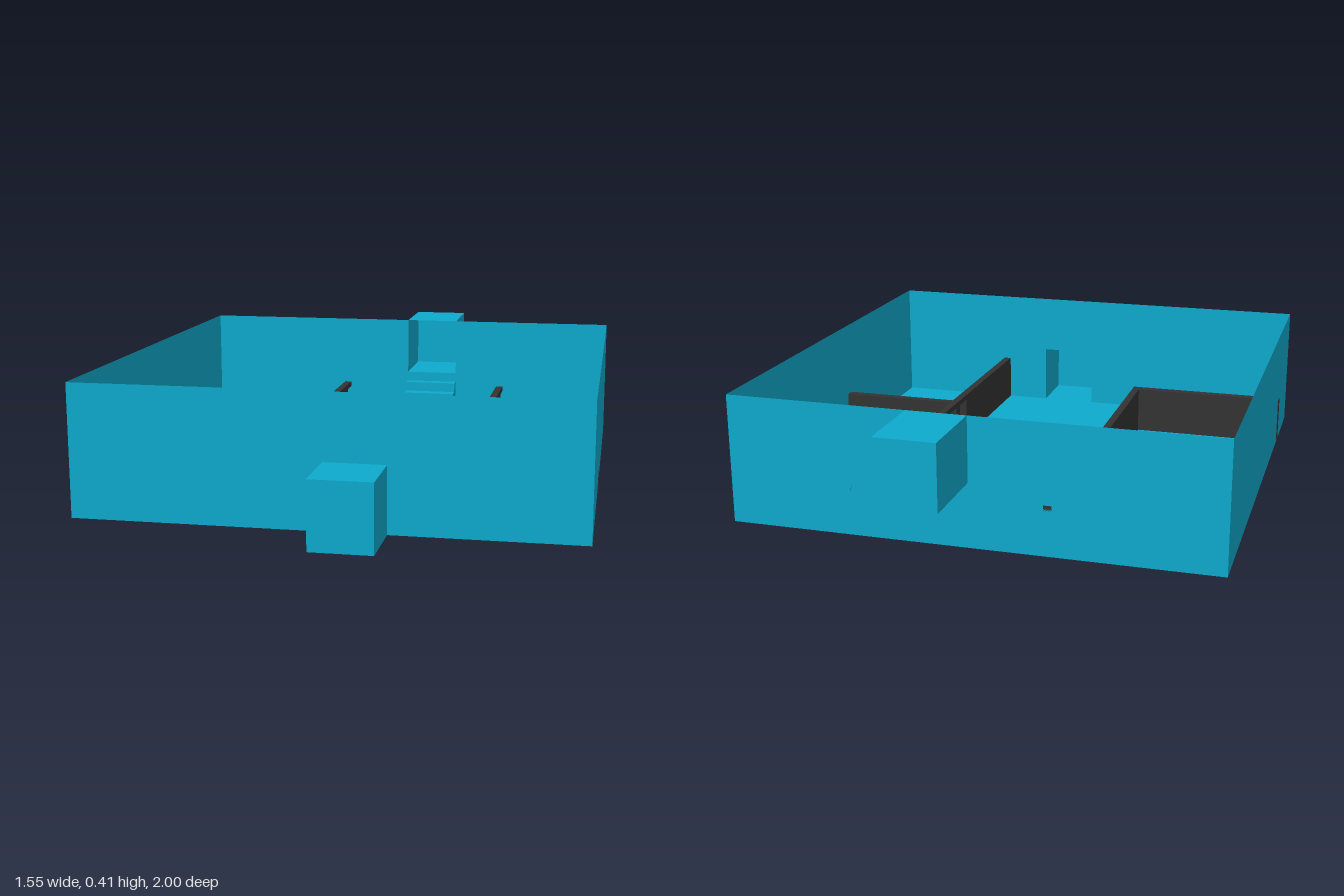
import * as THREE from 'three';

const blue = new THREE.MeshStandardMaterial({ color: 0x0eaacd, side: THREE.DoubleSide });
blue.name = 'blue shell';
const dark = new THREE.MeshStandardMaterial({ color: 0x333333 });
dark.name = 'dark partition';

const X = 0.772, ZB = -0.742, ZF = 0.8, H = 0.414; // room extents
const AX0 = 0, AX1 = 0.19, MID = 0.207;            // alcove width and level
const WALL_H = 0.16, LINTEL = 0.018;

const shapeOf = (pts) => new THREE.Shape(pts.map(([a, b]) => new THREE.Vector2(a, b)));

export function createModel() {
  const model = new THREE.Group();

  const add = (name, geo, mat, parent = model) => {
    const mesh = new THREE.Mesh(geo, mat);
    mesh.name = name;
    parent.add(mesh);
    return mesh;
  };
  // Open sheets: level (fixed y), facing z, facing x
  const level = (name, x0, x1, y, z0, z1, parent) =>
    add(name, new THREE.PlaneGeometry(x1 - x0, z1 - z0).rotateX(-Math.PI / 2)
      .translate((x0 + x1) / 2, y, (z0 + z1) / 2), blue, parent);
  const facingZ = (name, x0, x1, y0, y1, z, parent) =>
    add(name, new THREE.PlaneGeometry(x1 - x0, y1 - y0)
      .translate((x0 + x1) / 2, (y0 + y1) / 2, z), blue, parent);
  const facingX = (name, x, y0, y1, z0, z1, parent) =>
    add(name, new THREE.PlaneGeometry(z1 - z0, y1 - y0).rotateY(Math.PI / 2)
      .translate(x, (y0 + y1) / 2, (z0 + z1) / 2), blue, parent);
  const block = (name, x0, x1, y0, y1, z0, z1, parent) =>
    add(name, new THREE.BoxGeometry(x1 - x0, y1 - y0, z1 - z0)
      .translate((x0 + x1) / 2, (y0 + y1) / 2, (z0 + z1) / 2), dark, parent);

  // Floor, open beneath the stairs
  const stairZ = [-0.455, -0.543, -0.602, -0.66, -0.704, ZB];
  const floor = shapeOf([[-X, -ZF], [X, -ZF], [X, -ZB], [AX1, -ZB], [AX1, -stairZ[0]],
    [AX0, -stairZ[0]], [AX0, -ZB], [-X, -ZB]]);
  add('floor', new THREE.ShapeGeometry(floor).rotateX(-Math.PI / 2), blue);

  // Outer walls with doorways into the alcoves
  facingX('rightWall', -X, 0, H, ZB, ZF);
  facingX('leftWall', X, 0, H, ZB, ZF);
  const front = shapeOf([[-X, 0], [AX0, 0], [AX0, MID], [AX1, MID], [AX1, 0], [X, 0], [X, H], [-X, H]]);
  add('frontWall', new THREE.ShapeGeometry(front).translate(0, 0, ZF), blue);
  const back = shapeOf([[-X, 0], [X, 0], [X, H], [AX1, H], [AX1, MID], [AX0, MID], [AX0, H], [-X, H]]);
  add('backWall', new THREE.ShapeGeometry(back).translate(0, 0, ZB), blue);

  // Alcoves: low at the front, raised at the back
  for (const [name, y0, y1, z0, z1, end] of [
    ['frontAlcove', 0, MID, ZF, 1, 1],
    ['backAlcove', MID, H, -1, ZB, -1]]) {
    const g = new THREE.Group();
    g.name = name;
    model.add(g);
    level('alcoveFloor', AX0, AX1, y0, z0, z1, g);
    level('alcoveRoof', AX0, AX1, y1, z0, z1, g);
    facingX('alcoveSide', AX0, y0, y1, z0, z1, g);
    facingX('alcoveSide', AX1, y0, y1, z0, z1, g);
    facingZ('alcoveEnd', AX0, AX1, y0, y1, end, g);
  }

  // Hollow stairs up to the back alcove
  const stairs = new THREE.Group();
  stairs.name = 'stairs';
  model.add(stairs);
  const rise = MID / 6;
  for (let i = 0; i < 5; i++) {
    const y = rise * (i + 1);
    facingZ('riser', AX0, AX1, y - rise, y, stairZ[i], stairs);
    level('tread', AX0, AX1, y, stairZ[i + 1], stairZ[i], stairs);
    for (const x of [AX0, AX1]) facingX('stairSide', x, 0, y, stairZ[i + 1], stairZ[i], stairs);
  }

  // Long partitions: solid runs between door gaps, joined by a lintel;
  // lean(z) shifts the wall slightly along its length
  const partition = (name, x0, x1, runs, zEnd, lean) => {
    const g = new THREE.Group();
    g.name = name;
    model.add(g);
    const parts = runs.map(([a, b]) => block('partitionPanel', x0, x1, 0.001, WALL_H - LINTEL, a, b, g));
    const cuts = [ZB, ...runs.flat(), zEnd].filter((z, i, all) => i === 0 || z > all[i - 1]);
    for (let i = 1; i < cuts.length; i++)
      parts.push(block('partitionLintel', x0, x1, WALL_H - LINTEL, WALL_H, cuts[i - 1], cuts[i], g));
    for (const m of parts) {
      const p = m.geometry.attributes.position;
      for (let i = 0; i < p.count; i++) p.setX(i, p.getX(i) + lean(p.getZ(i)));
      m.geometry.computeVertexNormals();
    }
  };
  partition('rightPartition', -0.255, -0.23, [[-0.665, -0.215], [-0.14, 0.53]], 0.53, () => 0);
  partition('leftPartition', 0.345, 0.37, [[-0.665, 0.065], [0.14, 0.18], [0.25, ZF - 0.002]], ZF - 0.002,
    (z) => -0.008 * z);

  // Cross partitions reaching the side walls
  block('rightBackCrossWall', -X + 0.002, -0.255, 0.001, WALL_H, -0.25, -0.217);
  block('rightFrontCrossWall', -X - 0.002, -0.255, 0.001, WALL_H, 0.498, 0.53);
  const cross = block('leftCrossWall', 0.365, X, 0.001, WALL_H, 0.147, 0.175);
  // Outer end slopes, so only its foot breaks through the wall
  const p = cross.geometry.attributes.position;
  for (let i = 0; i < p.count; i++)
    if (p.getX(i) > 0.6) p.setX(i, p.getY(i) < 0.05 ? X + 0.003 : X - 0.003);
  cross.geometry.computeVertexNormals();

  return model;
}
